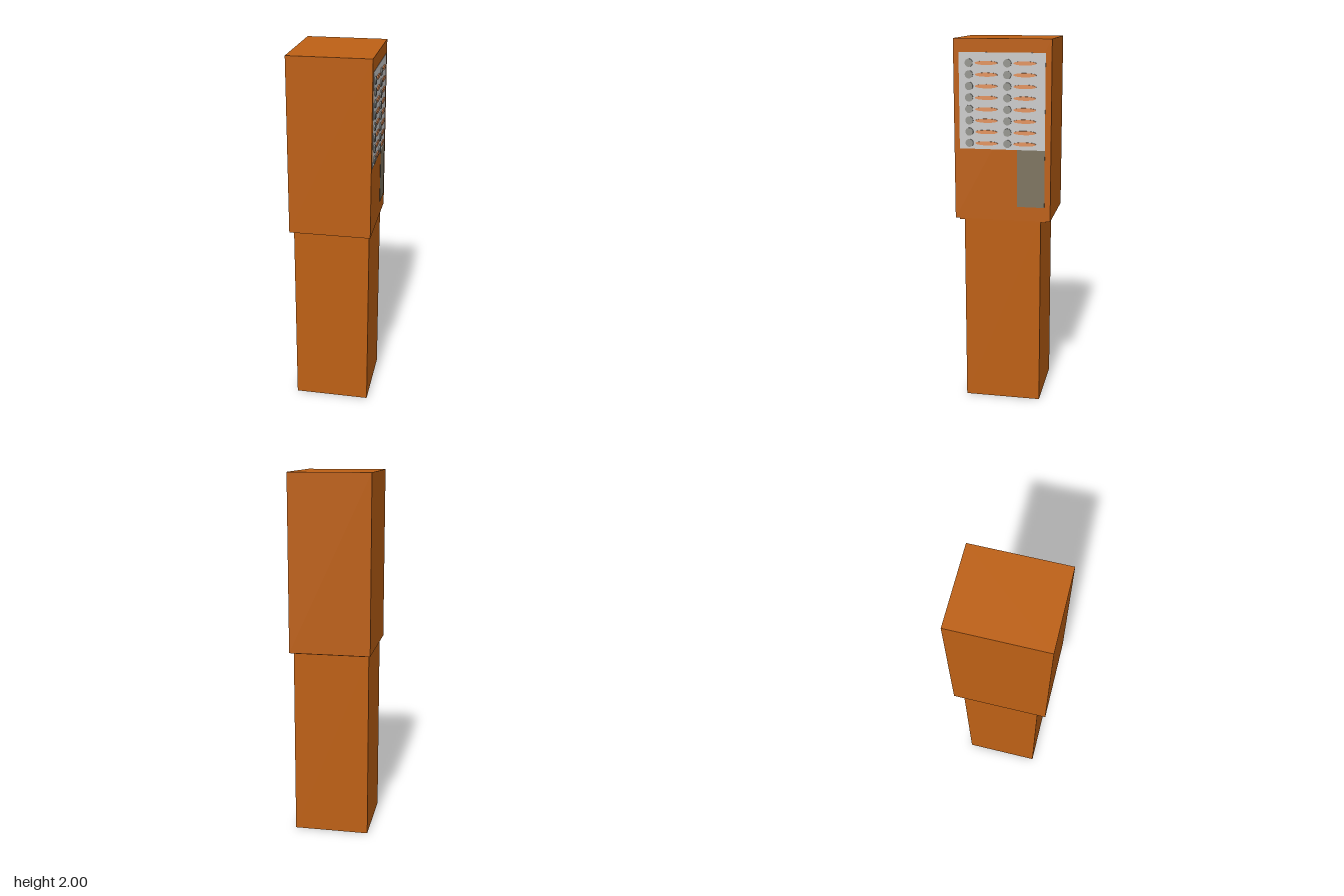
import * as THREE from 'three';

const mat = (color) => new THREE.MeshStandardMaterial({ color });

export function createModel() {
  const group = new THREE.Group();
  const orange = mat(0xbd6015), panelGrey = mat(0xcccccc), slate = mat(0x7e7460);
  const buttonGrey = mat(0x969690), labelOrange = mat(0xe2935f);

  // box given by its min and max corners
  function box(name, [x0, y0, z0], [x1, y1, z1], material) {
    const mesh = new THREE.Mesh(new THREE.BoxGeometry(x1 - x0, y1 - y0, z1 - z0), material);
    mesh.position.set((x0 + x1) / 2, (y0 + y1) / 2, (z0 + z1) / 2);
    mesh.name = name;
    group.add(mesh);
  }

  // housing: post, thin collar and the wider head
  box('post', [-0.21, 0, -0.207], [0.203, 1.04, 0.21], orange);
  box('collar', [-0.218, 1.037, -0.235], [0.21, 1.05, 0.235], orange);
  box('head', [-0.225, 1.045, -0.26], [0.216, 2, 0.257], orange);

  // panels lying on the head's side
  box('buttonPanel', [0.21, 1.427, -0.228], [0.2175, 1.93, 0.228], panelGrey);
  box('lowerPanel', [0.21, 1.12, -0.228], [0.2175, 1.427, -0.08], slate);

  // discs standing out of the panel along x
  const disc = new THREE.CylinderGeometry(1, 1, 0.008, 24).rotateZ(-Math.PI / 2);
  function addDisc(name, y, z, halfHeight, halfWidth, material) {
    const mesh = new THREE.Mesh(disc, material);
    mesh.position.set(0.2195, y, z);
    mesh.scale.set(1, halfHeight, halfWidth);
    mesh.name = name;
    group.add(mesh);
  }

  // two columns of eight round buttons, each with a long oval name plate
  for (let row = 0; row < 8; row++) {
    const y = 1.876 - row * 0.0597;
    for (const z of [0.174, -0.029]) {
      addDisc('button', y, z, 0.021, 0.021, buttonGrey);
      addDisc('namePlate', y, z - 0.092, 0.0105, 0.06, labelOrange);
    }
  }
  return group;
}
